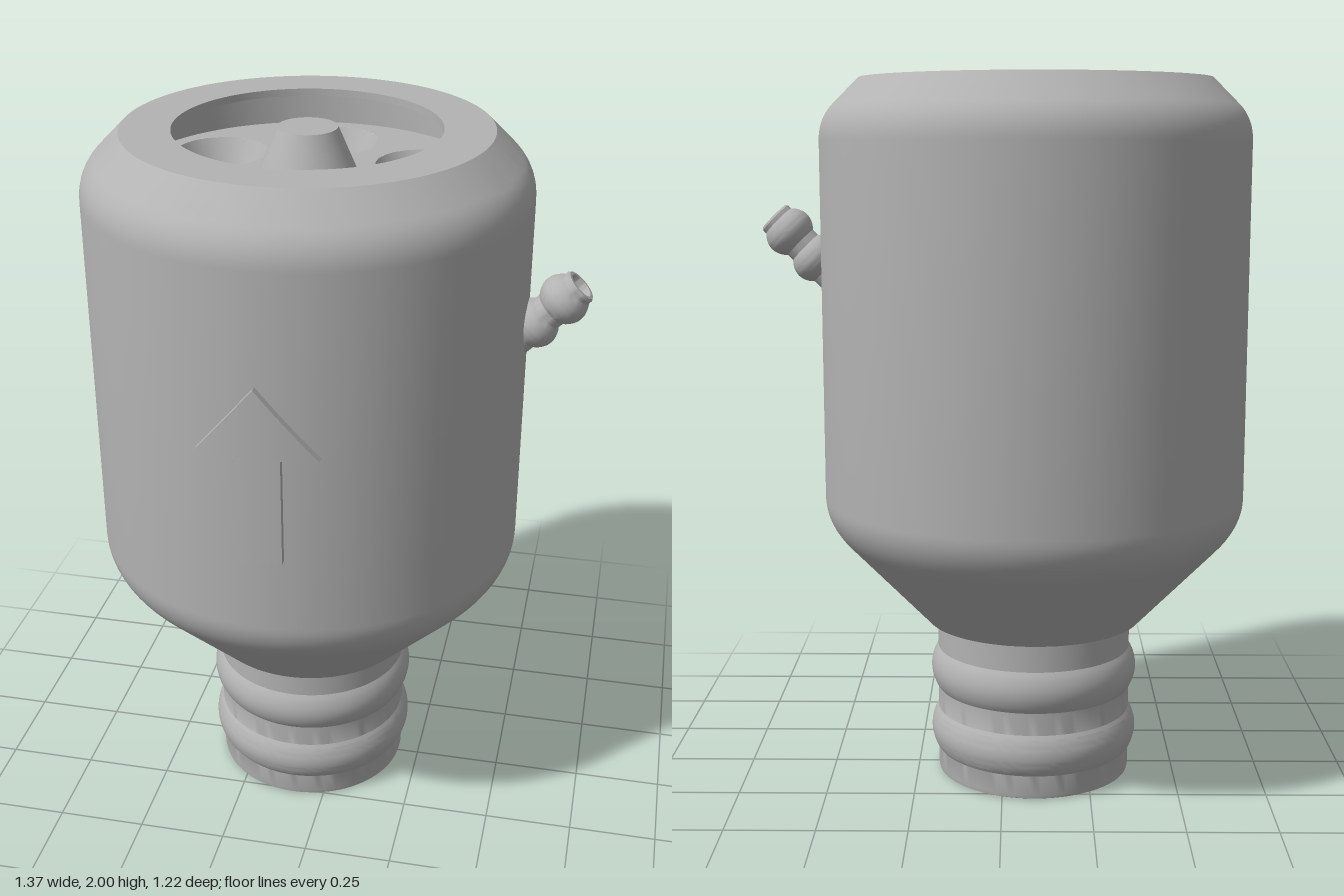
import * as THREE from 'three';
import { toCreasedNormals } from 'three/addons/utils/BufferGeometryUtils.js';

const FLOOR = 1.865; // height of the recessed plate under the top lip

export function createModel() {
  const plastic = new THREE.MeshStandardMaterial({ color: 0xb3b3b3 });
  plastic.name = 'grey plastic';

  const model = new THREE.Group();
  model.name = 'valveHousing';
  const add = (name, geometry, parent = model) => {
    const mesh = new THREE.Mesh(geometry, plastic);
    mesh.name = name;
    parent.add(mesh);
    return mesh;
  };
  const lathe = (points, segments) => toCreasedNormals(
    new THREE.LatheGeometry(points.map(([r, y]) => new THREE.Vector2(r, y)), segments), 0.5);

  // Rounded bulge on a hose profile
  const rib = (r, y, height, bulge) => {
    const pts = [];
    for (let i = 0; i <= 12; i++) {
      const t = i / 12;
      pts.push([r + bulge * Math.sin(Math.PI * t) ** 0.8, y + height * (t - 0.5)]);
    }
    return pts;
  };
  // Smooth corner between two profile points
  const bend = (a, corner, b) => new THREE.QuadraticBezierCurve(
    new THREE.Vector2(...a), new THREE.Vector2(...corner), new THREE.Vector2(...b)
  ).getPoints(10).map((p) => [p.x, p.y]);

  // Hollow housing: inner chamber, bore, ribbed neck, cone, barrel, top lip
  add('housing', lathe([
    [0, 1.7], [0.55, 1.7], [0.55, 0.85], [0.24, 0.5], [0.24, 0.01], [0.25, 0],
    [0.27, 0], [0.278, 0.004], [0.28, 0.014],
    ...rib(0.28, 0.13, 0.12, 0.02),
    ...rib(0.28, 0.315, 0.12, 0.02),
    [0.28, 0.475], [0.297, 0.475], [0.297, 0.46], [0.31, 0.46],
    ...bend([0.54, 0.7], [0.6, 0.762], [0.6, 0.83]),
    ...bend([0.6, 1.83], [0.6, 1.89], [0.56, 1.93]),
    [0.49, 2], [0.355, 2], [0.355, 1.98], [0.47, 1.98], [0.49, 1.96], [0.49, FLOOR],
  ], 96));

  // Recessed plate with six conical pockets
  const disc = new THREE.Shape().absarc(0, 0, 0.495, 0, Math.PI * 2);
  const pocket = lathe([[0.128, FLOOR], [0.065, 1.735], [0, 1.735]], 40);
  for (let i = 0; i < 6; i++) {
    const a = Math.PI / 6 + (i * Math.PI) / 3;
    const x = 0.323 * Math.cos(a), z = 0.323 * Math.sin(a);
    disc.holes.push(new THREE.Path().absarc(x, -z, 0.128, 0, Math.PI * 2, true));
    add('pocket' + (i + 1), pocket).position.set(x, 0, z);
  }
  const plate = new THREE.ShapeGeometry(disc, 40);
  plate.rotateX(-Math.PI / 2).translate(0, FLOOR, 0);
  add('plate', plate);

  // Central raised cone
  add('centreCone', lathe([[0.138, FLOOR], [0.08, 2], [0, 2]], 48));

  // Angled side nozzle with two ribs and a blind bore
  const nozzle = add('sideNozzle', lathe([
    [0.05, -0.28],
    ...rib(0.05, -0.165, 0.085, 0.02),
    ...rib(0.05, -0.06, 0.085, 0.02),
    [0.05, -0.006], [0.045, 0], [0.036, 0], [0.036, -0.2], [0, -0.2],
  ], 36));
  nozzle.position.set(0.735, 1.62, 0.003);
  nozzle.rotation.z = -Math.PI / 4;

  // Raised arrow wrapped round the barrel
  const arrow = new THREE.Group();
  arrow.name = 'arrow';
  model.add(arrow);
  const wrapped = (width, y0, y1, pointed) => {
    const g = new THREE.BoxGeometry(width, 1, 1, 16, 1, 1);
    const p = g.attributes.position;
    for (let i = 0; i < p.count; i++) {
      const x = p.getX(i);
      const top = pointed ? y1 - (y1 - y0) * Math.abs(x) / (width / 2) : y1;
      const r = p.getZ(i) > 0 ? 0.62 : 0.58;
      p.setXYZ(i, x, p.getY(i) > 0 ? top : y0, Math.sqrt(r * r - x * x));
    }
    return toCreasedNormals(g, 0.5);
  };
  add('arrowShaft', wrapped(0.13, 1.045, 1.345, false), arrow);
  add('arrowHead', wrapped(0.32, 1.345, 1.535, true), arrow);

  // The barrel axis sits off centre to balance the nozzle
  model.position.set(-0.09, 0, -0.012);
  const root = new THREE.Group();
  root.name = 'model';
  root.add(model);
  return root;
}
